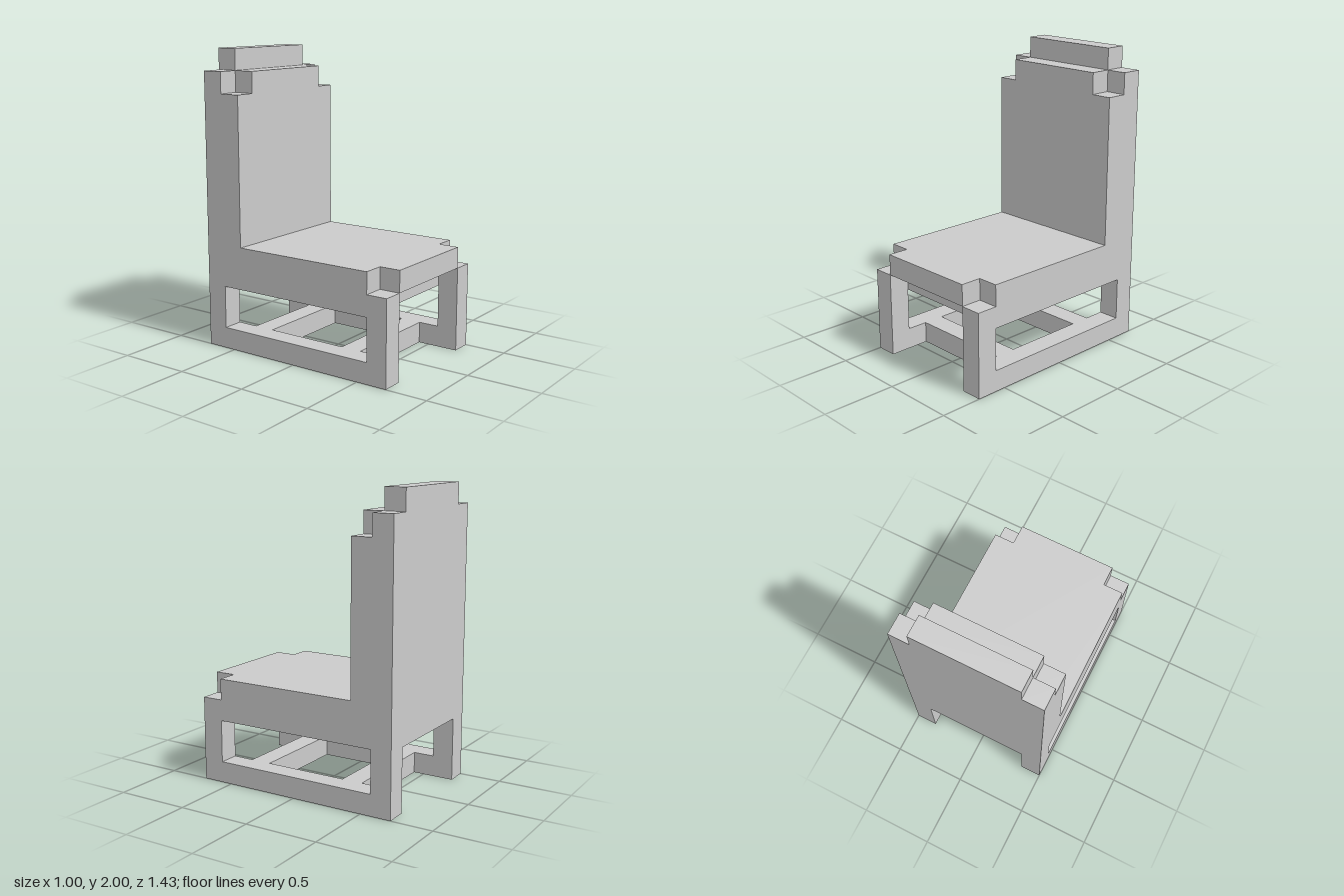
import * as THREE from 'three';

const U = 1 / 7; // block unit: the chair is 7 wide, 14 high, 10 deep
const material = new THREE.MeshStandardMaterial({ color: 0xcccccc, flatShading: true });

const toPoints = (list) => list.map(([z, y]) => new THREE.Vector2(z * U, y * U));

// Extrude a (z, y) side profile across x, centred on x = 0
function profileGeometry(outline, width, hole) {
  const shape = new THREE.Shape(toPoints(outline));
  if (hole) shape.holes.push(new THREE.Path(toPoints(hole)));
  return new THREE.ExtrudeGeometry(shape, { depth: width * U, bevelEnabled: false })
    .translate(0, 0, -width * U / 2)
    .rotateY(-Math.PI / 2);
}

function addPart(group, name, geometry, x = 0, y = 0, z = 0) {
  const mesh = new THREE.Mesh(geometry, material);
  mesh.name = name;
  mesh.position.set(x * U, y * U, z * U);
  group.add(mesh);
}

export function createModel() {
  const chair = new THREE.Group();
  chair.name = 'chair';

  // Seat with front lip and stepped backrest, between the side frames
  addPart(chair, 'seatAndBackrest', profileGeometry([
    [-5, 3], [4, 3], [4, 4], [5, 4], [5, 5], [-3, 5],
    [-3, 13], [-4, 13], [-4, 14], [-5, 14],
  ], 5));

  // Side frames: legs, floor rail, seat edge and back post around an opening
  const sideFrame = profileGeometry([
    [-5, 0], [5, 0], [5, 4], [4, 4], [4, 5], [-3, 5],
    [-3, 12], [-4, 12], [-4, 13], [-5, 13],
  ], 1, [[-4, 1], [-4, 3], [4, 3], [4, 1]]);
  addPart(chair, 'leftSideFrame', sideFrame, 3);
  addPart(chair, 'rightSideFrame', sideFrame, -3);

  // Cross stretchers joining the floor rails
  const stretcher = new THREE.BoxGeometry(5 * U, U, U);
  addPart(chair, 'frontStretcher', stretcher, 0, 0.5, 2.5);
  addPart(chair, 'backStretcher', stretcher, 0, 0.5, -2.5);

  return chair;
}
